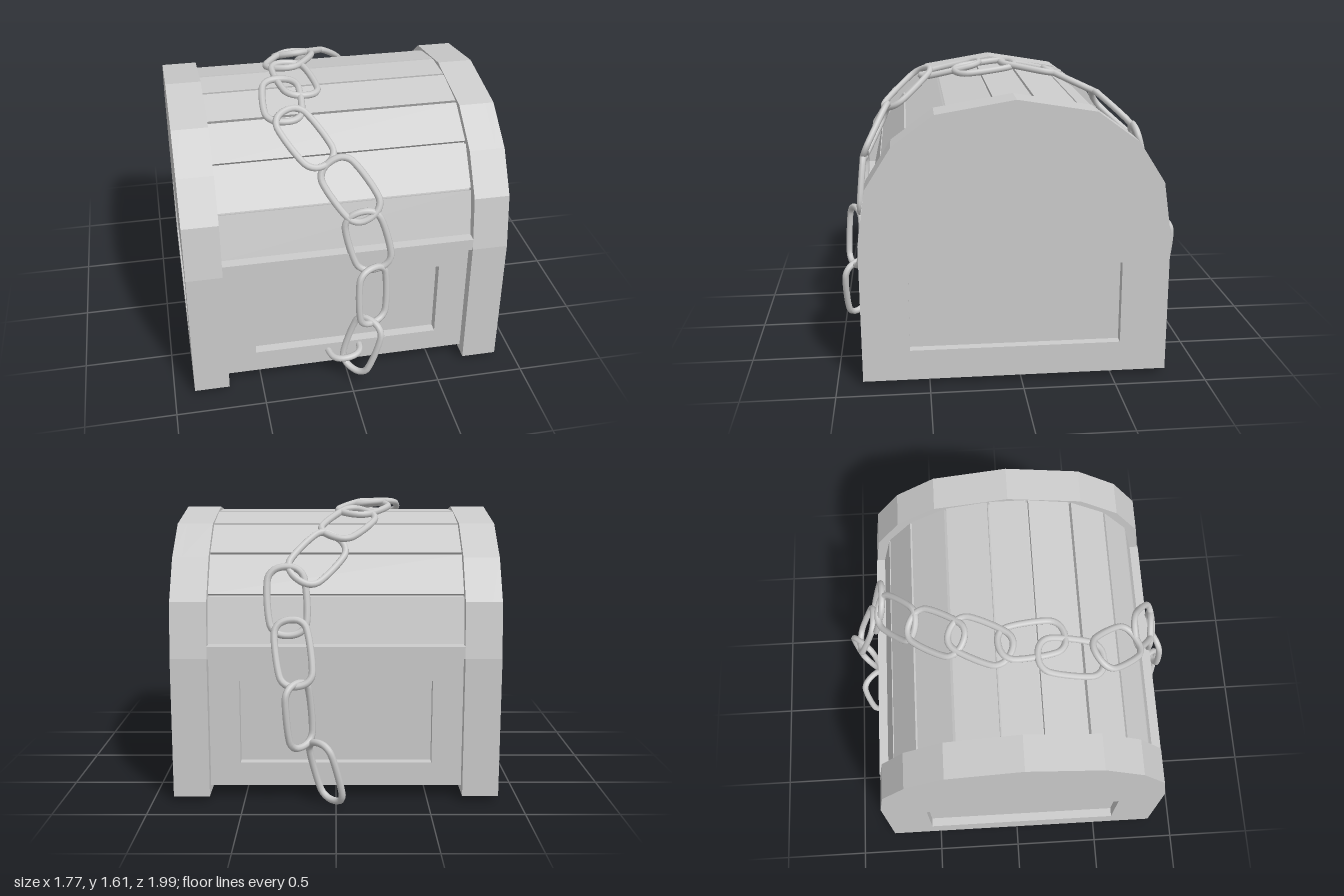
import * as THREE from 'three';

const ZC = 0.03; // chest centre in z
const mat = new THREE.MeshStandardMaterial({ color: 0xcccccc, flatShading: true });
const chainMat = new THREE.MeshStandardMaterial({ color: 0xcccccc });

function add(parent, name, geo, x = 0, y = 0, z = 0, material = mat) {
  const m = new THREE.Mesh(geo, material);
  m.name = name;
  m.position.set(x, y, z);
  parent.add(m);
  return m;
}

const shapeOf = pts => new THREE.Shape(pts.map(p => new THREE.Vector2(p[0], p[1])));
const mirrored = half => [...half, ...half.filter(p => p[0] > 0).reverse().map(p => [-p[0], p[1]])];
const extrude = (shape, depth) => new THREE.ExtrudeGeometry(shape, { depth, bevelEnabled: false });

// rectangular opening for a recessed panel
function rectHole(hw, y0, y1) {
  const h = new THREE.Path();
  h.moveTo(-hw, y0); h.lineTo(-hw, y1); h.lineTo(hw, y1); h.lineTo(hw, y0); h.closePath();
  return h;
}

// profile (z, y) extruded along x, starting at x0
function alongX(parent, name, shape, x0, depth) {
  const g = extrude(shape, depth);
  g.rotateY(Math.PI / 2); // shape x -> -z, profile is symmetric
  return add(parent, name, g, x0, 0, ZC);
}

// arched end wall with a recessed panel on its outer face
function endWall(parent, side) {
  const g = new THREE.Group();
  g.name = side > 0 ? 'leftEndWall' : 'rightEndWall';
  const outline = mirrored([[0.83, 0.02], [0.83, 0.79], [0.785, 1.09], [0.645, 1.31], [0.42, 1.475], [0, 1.545]]);
  alongX(g, 'endSlab', shapeOf(outline), side > 0 ? 0.69 : -0.836, 0.146);
  const frame = shapeOf(outline);
  frame.holes.push(rectHole(0.573, 0.19, 0.653));
  alongX(g, 'endFrame', frame, side > 0 ? 0.836 : -0.887, 0.051);
  parent.add(g);
}

// base box with framed front and back panels
function base(parent) {
  add(parent, 'baseBody', new THREE.BoxGeometry(1.38, 0.74, 1.42), 0, 0.43, ZC);
  for (const s of [1, -1]) {
    const frame = shapeOf([[-0.69, 0.06], [0.69, 0.06], [0.69, 0.79], [-0.69, 0.79]]);
    frame.holes.push(rectHole(0.525, 0.19, 0.653));
    const m = add(parent, s > 0 ? 'frontFrame' : 'backFrame', extrude(frame, 0.055), 0, 0, ZC + s * 0.71);
    if (s < 0) m.rotation.y = Math.PI;
  }
  add(parent, 'rimRail', new THREE.BoxGeometry(1.38, 0.067, 1.65), 0, 0.82, ZC);
}

// nine lid planks with narrow gaps over a recessed core
function lid(parent) {
  const pts = mirrored([[0.775, 0.85], [0.715, 1.115], [0.567, 1.325], [0.358, 1.47], [0.11, 1.522]]);
  const inset = (p, k) => [p[0] * k, 0.76 + (p[1] - 0.76) * k];
  alongX(parent, 'lidCore', shapeOf(pts.map(p => inset(p, 0.965))), -0.69, 1.38);
  for (let i = 0; i < pts.length - 1; i++) {
    const mix = t => [0, 1].map(k => pts[i][k] + (pts[i + 1][k] - pts[i][k]) * t);
    const a = mix(0.03), b = mix(0.97);
    alongX(parent, 'lidPlank', shapeOf([a, b, inset(b, 0.94), inset(a, 0.94)]), -0.69, 1.38);
  }
}

// closed chain link with blunt rounded ends, long axis on y, facing z
function linkGeometry(length, width, r) {
  const R = width / 2 - r, s = length / 2 - width / 2;
  const blunt = v => Math.sign(v) * Math.abs(v) ** 0.85;
  const pts = [];
  for (const end of [0, 1])
    for (let i = 0; i <= 6; i++) {
      const a = Math.PI * (end + i / 6);
      pts.push(new THREE.Vector3(R * blunt(Math.cos(a)), R * blunt(Math.sin(a)) + (end ? -s : s), 0));
    }
  const curve = new THREE.CatmullRomCurve3(pts, true, 'centripetal');
  return new THREE.TubeGeometry(curve, 48, r, 8, true);
}

// links placed by two end points and, where they do not lie on the lid, a facing
function placeLinks(parent, name, geo, links) {
  for (const [p, q, facing] of links) {
    const a = new THREE.Vector3(...p), b = new THREE.Vector3(...q);
    const mid = a.clone().add(b).multiplyScalar(0.5);
    const out = facing ? new THREE.Vector3(...facing) : new THREE.Vector3(0, mid.y - 0.76, mid.z - ZC);
    const y = a.sub(b).normalize();
    const x = y.clone().cross(out).normalize();
    const z = x.clone().cross(y);
    const m = add(parent, name, geo, mid.x, mid.y, mid.z, chainMat);
    m.quaternion.setFromRotationMatrix(new THREE.Matrix4().makeBasis(x, y, z));
  }
}

// chain draped over the lid, hanging down at front and back
function chain(parent) {
  const g = new THREE.Group();
  g.name = 'chain';
  placeLinks(g, 'hangingLink', linkGeometry(0.395, 0.218, 0.019), [
    [[-0.005, 0.15, 0.9], [-0.04, 0.15, 0.52], [-0.1, 1, 0]],
    [[0.115, 0.43, 0.92], [0.01, 0.08, 0.905], [-0.75, 0, 0.7]],
    [[0.115, 0.78, 0.9], [0.12, 0.41, 0.925], [0.4, 0, 0.9]],
    [[0.2, 0.66, -0.93], [0.25, 1.01, -0.8]],
    [[0.18, 0.32, -0.885], [0.21, 0.69, -0.92], [-0.75, 0, -0.7]],
    [[0.01, 0.005, -0.84], [0.1, 0.36, -0.895], [0.75, 0, -0.7]],
  ]);
  placeLinks(g, 'drapedLink', linkGeometry(0.405, 0.243, 0.019), [
    [[0.05, 1.1, 0.835], [0.145, 0.74, 0.87], [-0.1, 0.1, 1]],
    [[-0.095, 1.36, 0.69], [0.12, 1.05, 0.86], [-0.2, 0.45, 0.74]],
    [[-0.29, 1.545, 0.45], [-0.1, 1.32, 0.71], [0.2, 0.68, 0.54]],
    [[-0.26, 1.575, 0.13], [-0.29, 1.49, 0.5]],
    [[-0.2, 1.575, -0.07], [-0.145, 1.535, 0.29], [0.1, 1, 0]],
    [[-0.06, 1.525, -0.34], [-0.26, 1.575, 0.01]],
    [[0.03, 1.42, -0.55], [-0.17, 1.54, -0.26]],
    [[0.22, 1.2, -0.76], [-0.02, 1.42, -0.51], [-0.2, 0.56, -0.67]],
    [[0.25, 0.94, -0.8], [0.27, 1.25, -0.725]],
  ]);
  parent.add(g);
}

export function createModel() {
  const chest = new THREE.Group();
  chest.name = 'chest';
  endWall(chest, 1);
  endWall(chest, -1);
  base(chest);
  lid(chest);
  chain(chest);
  return chest;
}
